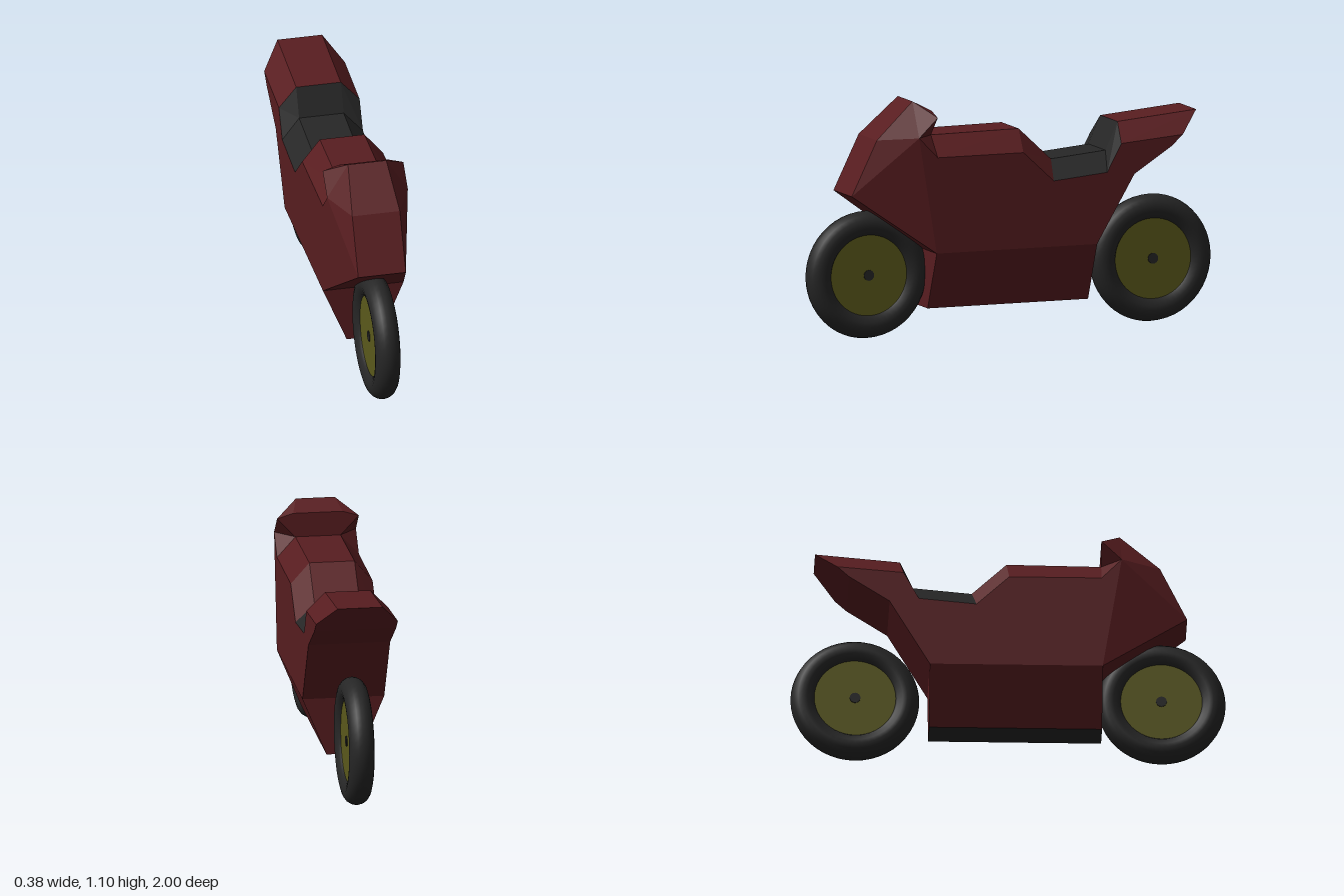
import * as THREE from 'three';

const RED = 0x581d20, BLACK = 0x262626, OLIVE = 0x5c5a1c;
const W = 0.19; // half width of the body sides

const mirror = ([x, y, z]) => [-x, y, z];

// Collects flat polygons; corners run counter-clockwise seen from outside
function panels() {
  const pos = [];
  const face = (...p) => {
    for (let i = 1; i < p.length - 1; i++) pos.push(...p[0], ...p[i], ...p[i + 1]);
  };
  return {
    // the same panel on the left and the right side
    both(...p) {
      face(...p);
      face(...p.map(mirror).reverse());
    },
    // panel spanning the width between two left-hand points
    span: (p, q) => face(p, q, mirror(q), mirror(p)),
    mesh(name, color) {
      const g = new THREE.BufferGeometry();
      g.setAttribute('position', new THREE.Float32BufferAttribute(pos, 3));
      g.computeVertexNormals();
      const m = new THREE.Mesh(g, new THREE.MeshStandardMaterial({
        color, flatShading: true, side: THREE.DoubleSide }));
      m.name = name;
      return m;
    },
  };
}

function wheel(name, z) {
  const group = new THREE.Group();
  group.name = name;
  const add = (part, geometry, color) => {
    const m = new THREE.Mesh(geometry.rotateZ(Math.PI / 2), new THREE.MeshStandardMaterial({ color }));
    m.name = part;
    group.add(m);
  };
  // half of the tyre section as radius, half width
  const half = [[0.184, 0.03], [0.195, 0.046], [0.22, 0.056], [0.24, 0.059],
    [0.262, 0.053], [0.28, 0.04], [0.291, 0.022]];
  const section = [
    ...half.map(([r, w]) => new THREE.Vector2(r, -w)),
    new THREE.Vector2(0.296, 0),
    ...half.map(([r, w]) => new THREE.Vector2(r, w)).reverse(),
  ];
  add('tyre', new THREE.LatheGeometry(section, 48), BLACK);
  add('rim', new THREE.CylinderGeometry(0.19, 0.19, 0.07, 40), OLIVE);
  add('axle', new THREE.CylinderGeometry(0.025, 0.025, 0.078, 16), BLACK);
  group.position.set(0, 0.298, z);
  return group;
}

export function createModel() {
  const model = new THREE.Group();
  const body = panels(), fairing = panels(), seat = panels(), belly = panels();

  // Body stations from tank to tail: top edge, shoulder and lower edge as [z, y]
  const stations = [
    [[0.425, 0.945], [0.425, 0.85], [0.43, 0.405]],
    [[-0.01, 0.95], [0, 0.85], [0, 0.405]],
    [[-0.17, 0.80], [-0.15, 0.71], [-0.15, 0.405]],
    [[-0.44, 0.825], [-0.415, 0.735], [-0.365, 0.405]],
    [[-0.50, 0.955], [-0.485, 0.865], [-0.55, 0.72]],
    [[-0.89, 0.99], [-0.79, 0.89], [-0.735, 0.84]],
  ].map(([t, s, l]) => ({
    top: [0.105, t[1], t[0]], shoulder: [W, s[1], s[0]], low: [W, l[1], l[0]] }));

  for (let i = 0; i < stations.length - 1; i++) {
    const a = stations[i], b = stations[i + 1];
    const upper = i === 2 || i === 3 ? seat : body;
    upper.span(a.top, b.top);
    upper.both(a.shoulder, b.shoulder, b.top, a.top);
    body.both(a.low, b.low, b.shoulder, a.shoulder);
    if (i >= 3) body.span(b.low, a.low); // tail underside
  }

  // Tail end
  const first = stations[0], rear = stations[3], tail = stations[5];
  body.span(tail.top, tail.shoulder);
  body.span(tail.shoulder, tail.low);

  // Belly, narrowing downwards
  const keelFront = [0.078, 0.135, 0.43], keelRear = [0.078, 0.135, -0.365];
  body.span(keelFront, first.low);
  body.span(rear.low, keelRear);
  body.both(keelFront, keelRear, rear.low, first.low);
  belly.span(keelRear, keelFront);

  // Front fairing: nose, brow, roof and the notch behind the cheeks
  const chin = [0.112, 0.68, 0.82], nose = [0.112, 0.935, 0.695];
  const brow = [0.09, 1.103, 0.51], roof = [0.115, 1.058, 0.425];
  const corner = [W, 1.035, 0.425], cheek = [W, 0.945, 0.517];
  fairing.span(first.low, chin);
  fairing.span(chin, nose);
  fairing.span(nose, brow);
  fairing.span(brow, roof);
  fairing.span(roof, first.top);
  fairing.both(brow, corner, roof);
  fairing.both(brow, cheek, corner);
  fairing.both(nose, cheek, brow);
  fairing.both(chin, cheek, nose);
  fairing.both(chin, first.low, cheek);
  fairing.both(first.low, first.shoulder, cheek);
  fairing.both(cheek, first.shoulder, first.top);
  fairing.both(cheek, first.top, corner);
  fairing.both(corner, first.top, roof);

  model.add(
    body.mesh('body', RED),
    fairing.mesh('frontFairing', RED),
    seat.mesh('seat', BLACK),
    belly.mesh('bellyPan', BLACK),
    wheel('frontWheel', 0.704),
    wheel('rearWheel', -0.704),
  );
  return model;
}
